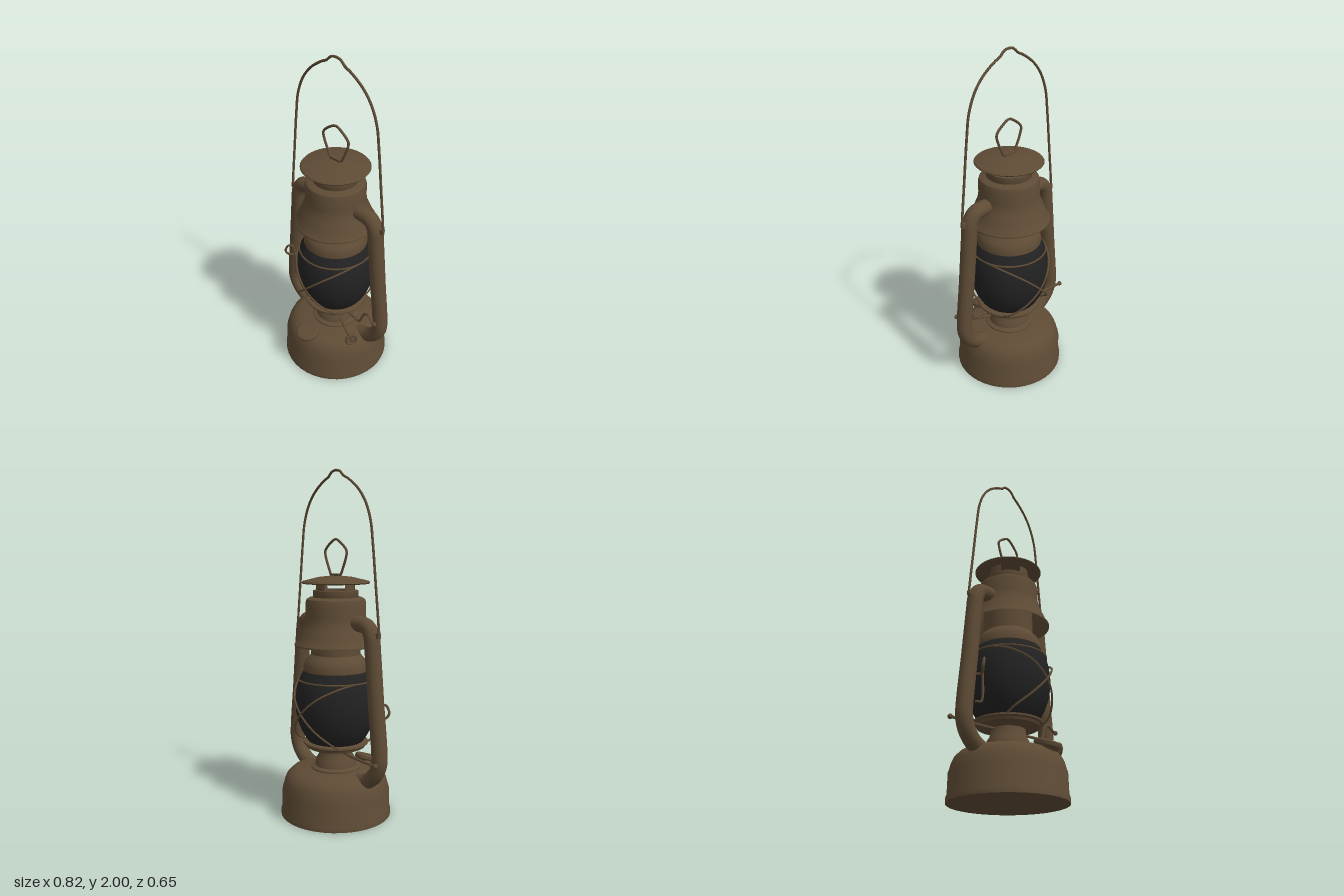
import * as THREE from 'three';
import { toCreasedNormals } from 'three/addons/utils/BufferGeometryUtils.js';

export function createModel() {
  const lantern = new THREE.Group();
  lantern.name = 'lantern';
  const metal = new THREE.MeshStandardMaterial({ color: 0x5e4b35, side: THREE.DoubleSide });
  metal.name = 'aged brown metal';
  const glass = new THREE.MeshStandardMaterial({ color: 0x222222, side: THREE.DoubleSide });
  glass.name = 'dark glass';

  const add = (name, geometry, material = metal, parent = lantern) => {
    const mesh = new THREE.Mesh(geometry, material);
    mesh.name = name;
    parent.add(mesh);
    return mesh;
  };
  // Profiles are [radius, height] pairs running upwards
  const lathe = (name, profile, material, parent) => add(name, toCreasedNormals(
    new THREE.LatheGeometry(profile.map(p => new THREE.Vector2(...p)), 40), 0.6), material, parent);
  // Round bar through [x, y, z] points
  const bar = (name, points, radius, sides = 8, closed = false, segments = 64) => {
    const curve = new THREE.CatmullRomCurve3(points.map(p => new THREE.Vector3(...p)), closed);
    return add(name, new THREE.TubeGeometry(curve, segments, radius, sides, closed));
  };

  // Fuel tank with a recessed underside
  lathe('fuelTank', [[0, 0.04], [0.2, 0.03], [0.315, 0.005], [0.325, 0.005], [0.325, 0.03], [0.318, 0.05],
    [0.316, 0.16], [0.308, 0.185], [0.302, 0.21], [0.288, 0.24], [0.262, 0.265], [0.225, 0.28], [0, 0.285]]);

  // Burner and globe plate
  lathe('burner', [[0.145, 0.28], [0.145, 0.29], [0.122, 0.3], [0.115, 0.335], [0.1, 0.36], [0.095, 0.4],
    [0.13, 0.412], [0.172, 0.412], [0.178, 0.425], [0.19, 0.432], [0.19, 0.442], [0.165, 0.447], [0, 0.447]]);

  // Glass globe
  lathe('globe', [[0.155, 0.44], [0.175, 0.465], [0.203, 0.515], [0.223, 0.57], [0.234, 0.63], [0.236, 0.69],
    [0.23, 0.75], [0.215, 0.81], [0.185, 0.862]], glass);

  // Collar above the globe
  lathe('globeCollar', [[0.18, 0.855], [0.188, 0.865], [0.186, 0.9], [0.175, 0.925], [0.155, 0.945],
    [0.143, 0.96], [0.14, 1.12]]);

  // Flared hood, open underneath
  lathe('hood', [[0.238, 1.01], [0.238, 1.018], [0.225, 1.035], [0.21, 1.07], [0.193, 1.11], [0.18, 1.14],
    [0.174, 1.18], [0.174, 1.255], [0.168, 1.275], [0.15, 1.286], [0, 1.288]]);

  // Chimney ring, four posts and cap
  lathe('chimneyRing', [[0.125, 1.28], [0.13, 1.29], [0.13, 1.325], [0.118, 1.328]]);
  for (let i = 0; i < 4; i++) {
    const post = add('chimneyPost', new THREE.CylinderGeometry(0.122, 0.122, 0.09, 6, 1, true,
      i * Math.PI / 2 - 0.3, 0.6));
    post.position.y = 1.345;
  }
  lathe('chimneyCap', [[0, 1.37], [0.12, 1.368], [0.192, 1.364], [0.197, 1.37], [0.19, 1.378], [0.15, 1.388],
    [0.1, 1.4], [0.05, 1.406], [0, 1.408]]);
  add('liftRingBracket', new THREE.BoxGeometry(0.075, 0.016, 0.022)).position.y = 1.412;
  bar('liftRing', [[-0.04, 1.415, 0], [-0.055, 1.44, 0], [-0.09, 1.525, 0], [-0.09, 1.55, 0], [-0.045, 1.592, 0],
    [0, 1.613, 0], [0.045, 1.592, 0], [0.09, 1.55, 0], [0.09, 1.525, 0], [0.055, 1.44, 0], [0.04, 1.415, 0]], 0.007, 8, true);

  // Side air tubes with ears for the carrying handle
  for (const s of [-1, 1]) {
    bar('sideTube', [[0.14, 1.145], [0.21, 1.147], [0.262, 1.135], [0.293, 1.09], [0.305, 1.0], [0.333, 0.72],
      [0.362, 0.45], [0.362, 0.385], [0.338, 0.322], [0.28, 0.268], [0.21, 0.243], [0.14, 0.225]]
      .map(([x, y]) => [s * x, y, 0]), 0.045, 16, false, 80);
    add('handleEar', new THREE.BoxGeometry(0.04, 0.03, 0.02)).position.set(s * 0.335, 1.095, 0);
  }

  // Carrying handle
  const half = [[0.325, 1.085], [0.352, 1.085], [0.35, 1.12], [0.325, 1.35], [0.297, 1.6], [0.28, 1.71], [0.24, 1.81],
    [0.18, 1.885], [0.1, 1.942], [0.062, 1.96], [0.035, 1.985]];
  bar('carryingHandle', [...half.map(([x, y]) => [-x, y, 0]), [0, 1.993, 0],
    ...half.map(([x, y]) => [x, y, 0]).reverse()], 0.007, 8, false, 120);

  // Crossed guard wires in front and behind
  for (const z of [-1, 1]) for (const x of [-1, 1]) {
    bar('guardWire', [[-0.15, 0.44, 0.11], [-0.15, 0.47, 0.16], [-0.085, 0.55, 0.235], [0, 0.64, 0.264],
      [0.09, 0.725, 0.235], [0.17, 0.785, 0.15], [0.212, 0.812, 0.05]]
      .map(p => [p[0] * x, p[1], p[2] * z]), 0.006, 6, false, 40);
  }
  const guardRing = add('guardRing', new THREE.TorusGeometry(0.217, 0.005, 6, 40));
  guardRing.rotation.x = Math.PI / 2;
  guardRing.position.y = 0.812;

  // Globe lifting lever
  bar('liftLever', [[-0.4, 0.392, -0.065], [-0.36, 0.392, -0.06], [-0.2, 0.392, -0.045], [0, 0.392, 0],
    [0.2, 0.392, 0.045], [0.245, 0.395, 0.05], [0.262, 0.43, 0.05], [0.285, 0.48, 0.05], [0.315, 0.49, 0.053],
    [0.345, 0.465, 0.058], [0.372, 0.455, 0.063]], 0.008);
  add('leverTip', new THREE.SphereGeometry(0.014, 12, 8)).position.set(0.368, 0.457, 0.062);
  add('leverPivot', new THREE.SphereGeometry(0.014, 12, 8)).position.set(-0.395, 0.392, -0.064);

  // Wire clip beside the globe
  bar('wireClip', [[-0.325, 0.47, 0.04], [-0.298, 0.472, 0.055], [-0.292, 0.5, 0.06], [-0.294, 0.62, 0.06],
    [-0.305, 0.69, 0.07], [-0.32, 0.695, 0.09], [-0.338, 0.65, 0.1], [-0.325, 0.622, 0.085],
    [-0.305, 0.62, 0.055], [-0.325, 0.62, 0.03]], 0.007);

  // Wick adjuster: stem and round thumb wheel
  bar('wickStem', [[0.07, 0.325, 0.04], [0.17, 0.325, 0.1], [0.268, 0.325, 0.148]], 0.008);
  const wheel = new THREE.Group();
  wheel.name = 'wickWheel';
  wheel.position.set(0.268, 0.325, 0.148);
  wheel.rotation.y = 1.05;
  add('wheelRim', new THREE.TorusGeometry(0.033, 0.008, 8, 24), metal, wheel);
  for (let i = 0; i < 2; i++) {
    const spoke = add('wheelSpoke', new THREE.BoxGeometry(0.064, 0.012, 0.008), metal, wheel);
    spoke.rotation.z = i * Math.PI / 2;
  }
  lantern.add(wheel);

  // Tilted filler cap
  const cap = new THREE.Group();
  cap.name = 'fillerCap';
  cap.position.set(0, 0.235, 0.236);
  cap.rotation.x = 0.3;
  lathe('fillerNeck', [[0.05, -0.03], [0.05, 0.025], [0.06, 0.035]], metal, cap);
  lathe('fillerLid', [[0.05, 0.032], [0.062, 0.035], [0.07, 0.045], [0.07, 0.062], [0.062, 0.069], [0, 0.072]], metal, cap);
  lantern.add(cap);

  return lantern;
}
